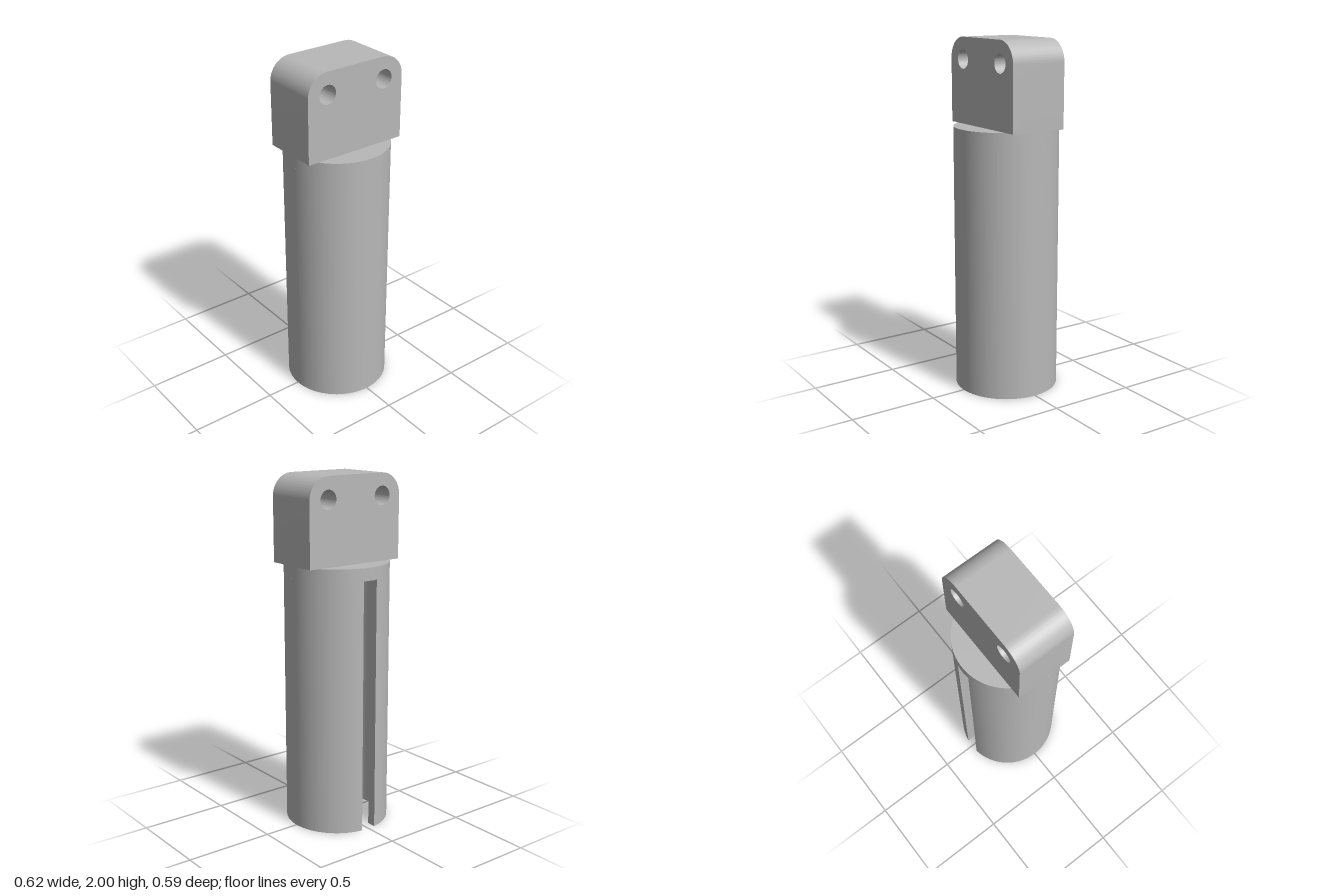
import * as THREE from 'three';
import { toCreasedNormals } from 'three/addons/utils/BufferGeometryUtils.js';

const OUTER = 0.2955, INNER = 0.243, SLOT = 0.045; // radii and half slot width
const BORE_TOP = 1.445, TUBE_TOP = 1.516;
const HALF_W = 0.309, HALF_D = 0.1655, TOP = 2, CORNER = 0.124, HOLE = 0.053;

function extrude(shape, depth, curveSegments) {
  const geometry = new THREE.ExtrudeGeometry(shape, { depth, curveSegments, bevelEnabled: false });
  return toCreasedNormals(geometry, 0.5);
}

export function createModel() {
  const model = new THREE.Group();
  const grey = new THREE.MeshStandardMaterial({ color: 0xb8b8b8 });
  grey.name = 'grey';

  const add = (name, geometry) => {
    const mesh = new THREE.Mesh(geometry, grey);
    mesh.name = name;
    model.add(mesh);
    return mesh;
  };

  // Hollow tube with a full-length slot at the back
  const a = Math.asin(SLOT / OUTER), b = Math.asin(SLOT / INNER), up = Math.PI / 2;
  const ring = new THREE.Shape();
  ring.absarc(0, 0, OUTER, up + a, up - a + 2 * Math.PI, false);
  ring.absarc(0, 0, INNER, up - b + 2 * Math.PI, up + b, true);
  ring.closePath();
  add('slottedTube', extrude(ring, BORE_TOP, 96).rotateX(-Math.PI / 2));

  // Solid end closing the bore
  const cap = add('tubeCap', new THREE.CylinderGeometry(OUTER, OUTER, TUBE_TOP - BORE_TOP, 96));
  cap.position.y = (TUBE_TOP + BORE_TOP) / 2;

  // Mounting block with rounded top corners and two through holes
  const cx = HALF_W - CORNER, cy = TOP - CORNER;
  const block = new THREE.Shape();
  block.moveTo(-HALF_W, TUBE_TOP);
  block.lineTo(HALF_W, TUBE_TOP);
  block.absarc(cx, cy, CORNER, 0, Math.PI / 2, false);
  block.absarc(-cx, cy, CORNER, Math.PI / 2, Math.PI, false);
  block.closePath();
  for (const side of [-1, 1]) {
    block.holes.push(new THREE.Path().absarc(side * cx, cy, HOLE, 0, Math.PI * 2, true));
  }
  add('mountingBlock', extrude(block, 2 * HALF_D, 32).translate(0, 0, -HALF_D));

  return model;
}
